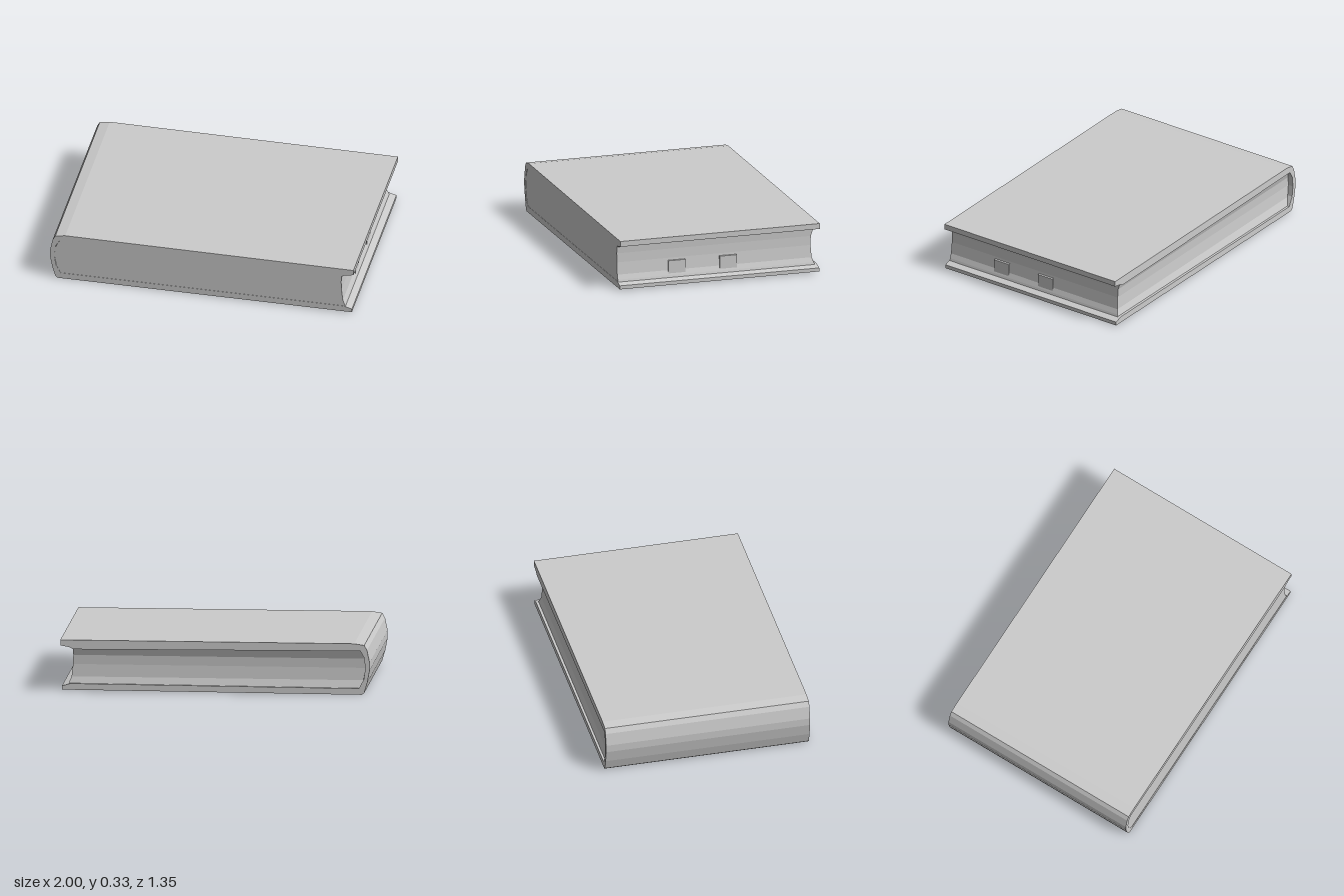
import * as THREE from 'three';

const FRONT = 0.674, BACK = -0.677;

// Linear interpolation through [y, value] pairs
function sample(table, y) {
  for (let i = 1; i < table.length; i++) {
    const [y0, a] = table[i - 1], [y1, b] = table[i];
    if (y <= y1) return THREE.MathUtils.lerp(a, b, THREE.MathUtils.clamp((y - y0) / (y1 - y0), 0, 1));
  }
  return table[table.length - 1][1];
}

export function createModel() {
  const group = new THREE.Group();
  const material = new THREE.MeshStandardMaterial({ color: 0xcccccc, flatShading: true });
  const add = (name, geometry) => {
    const mesh = new THREE.Mesh(geometry, material);
    mesh.name = name;
    group.add(mesh);
    return mesh;
  };

  // Cover: both boards and the rounded spine as one C-shaped section
  const outline = [
    [0.99, 0.008], [0.99, 0.032], [0.935, 0.048], [-0.93, 0.04],
    [-0.962, 0.1], [-0.972, 0.17], [-0.965, 0.24], [-0.94, 0.285],
    [0.92, 0.272], [0.94, 0.285], [1, 0.296], [1, 0.332],
    [-0.9, 0.332], [-0.965, 0.322], [-0.983, 0.29], [-1, 0.21],
    [-1, 0.16], [-0.985, 0.08], [-0.965, 0.012], [-0.95, 0],
  ].map(([x, y]) => new THREE.Vector2(x, y));
  const cover = new THREE.ExtrudeGeometry(new THREE.Shape(outline), { depth: FRONT - BACK, bevelEnabled: false });
  cover.translate(0, 0, BACK);
  add('cover', cover);

  // Page block: flush at the front, hollowed along the fore edge and the back
  const levels = [0.04, 0.06, 0.09, 0.17, 0.23, 0.26, 0.29];
  const foreEdge = [[0.04, 0.948], [0.06, 0.942], [0.09, 0.93], [0.17, 0.921], [0.23, 0.919], [0.29, 0.922]];
  const backEdge = [[0.04, -0.662], [0.09, -0.645], [0.17, -0.64], [0.23, -0.643], [0.29, -0.662]];
  const spineEdge = [[0.04, -0.93], [0.1, -0.962], [0.17, -0.972], [0.24, -0.965], [0.29, -0.935]];
  const pages = new THREE.BoxGeometry(2, 2, 2, 1, levels.length - 1, 1);
  const p = pages.attributes.position;
  for (let i = 0; i < p.count; i++) {
    const y = levels[Math.round((p.getY(i) + 1) / 2 * (levels.length - 1))];
    p.setXYZ(i,
      sample(p.getX(i) > 0 ? foreEdge : spineEdge, y), y,
      p.getZ(i) > 0 ? FRONT - 0.002 : sample(backEdge, y));
  }
  pages.computeVertexNormals();
  add('pages', pages);

  // Two index tabs on the fore edge
  for (const z of [0.27, -0.078]) {
    add('pageTab', new THREE.BoxGeometry(0.04, 0.085, 0.115)).position.set(0.918, 0.112, z);
  }
  return group;
}
